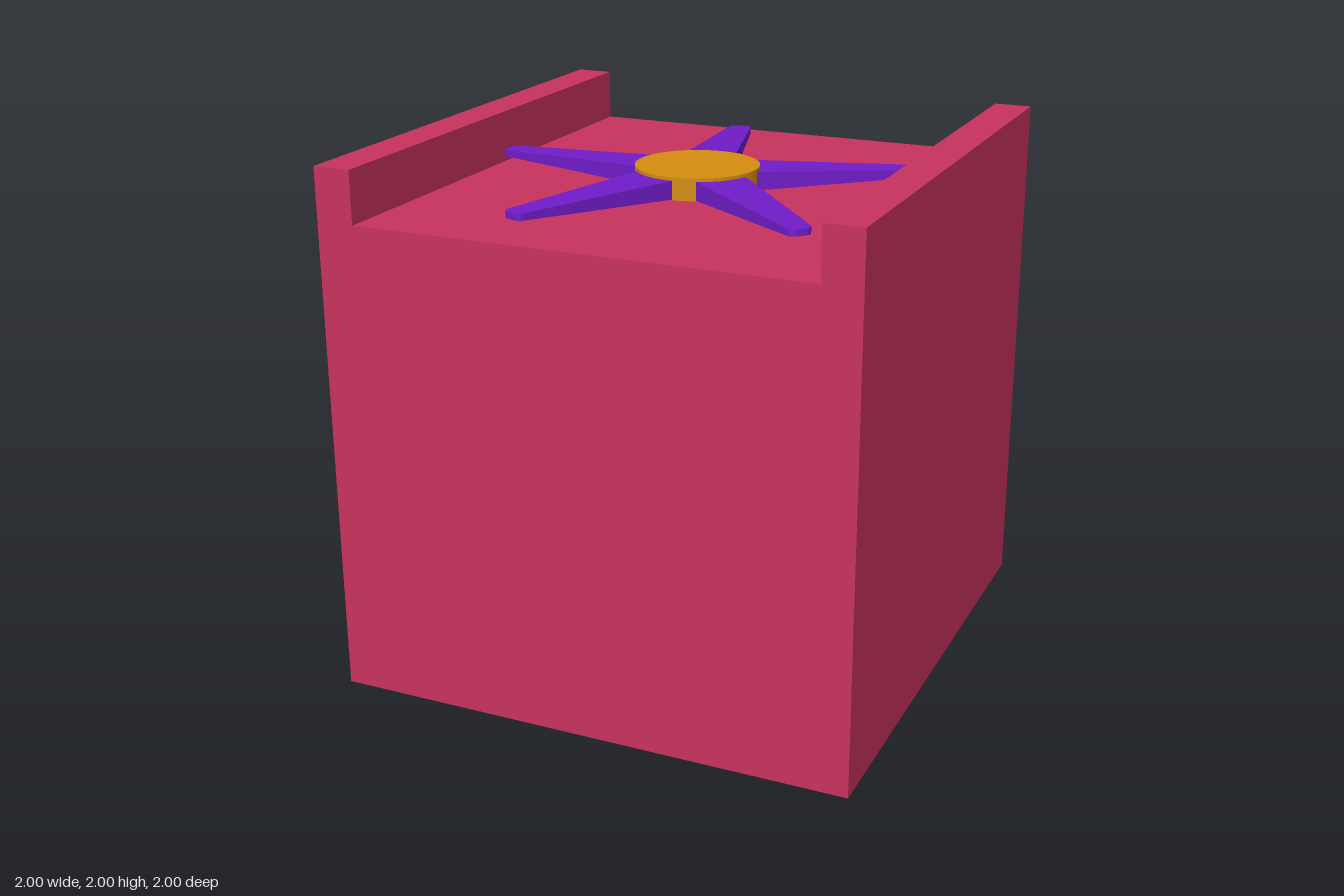
import * as THREE from 'three';

const FLOOR = 1.804;   // top of the block between the rails
const WALL = 0.857;    // inner face of each rail

function mesh(name, geometry, color, flatShading = true) {
  const m = new THREE.Mesh(geometry, new THREE.MeshStandardMaterial({ color, flatShading }));
  m.name = name;
  return m;
}

// Tapered blade along +x with rounded tip corners, thinning towards the tip
function bladeGeometry() {
  const root = 0.15, tip = 0.863, rootHalf = 0.104, tipHalf = 0.043, r = 0.028;
  const s = new THREE.Shape();
  s.moveTo(root, -rootHalf);
  s.lineTo(tip - r, -tipHalf - 0.002);
  s.quadraticCurveTo(tip - 0.003, -tipHalf, tip, -tipHalf + r);
  s.lineTo(tip, tipHalf - r);
  s.quadraticCurveTo(tip - 0.003, tipHalf, tip - r, tipHalf + 0.002);
  s.lineTo(root, rootHalf);
  s.closePath();
  const g = new THREE.ExtrudeGeometry(s, { depth: 2, bevelEnabled: false, curveSegments: 5 });
  g.translate(0, 0, -1);
  g.rotateX(-Math.PI / 2);
  const p = g.attributes.position;
  for (let i = 0; i < p.count; i++) {
    const t = (p.getX(i) - root) / (tip - root);
    p.setY(i, p.getY(i) * THREE.MathUtils.lerp(0.037, 0.012, t));
  }
  g.computeVertexNormals();
  return g;
}

export function createModel() {
  const model = new THREE.Group();
  model.name = 'fanBlock';

  // Solid block with a channel between two side rails
  const profile = new THREE.Shape([
    [-1, 0], [1, 0], [1, 2], [WALL, 2], [WALL, FLOOR], [-WALL, FLOOR], [-WALL, 2], [-1, 2],
  ].map(([x, y]) => new THREE.Vector2(x, y)));
  const block = new THREE.ExtrudeGeometry(profile, { depth: 2, bevelEnabled: false });
  block.translate(0, 0, -1);
  model.add(mesh('block', block, 0xc8325e));

  // Fan: round hub with five radial blades
  const fan = new THREE.Group();
  fan.name = 'fan';
  const hub = mesh('hub', new THREE.CylinderGeometry(0.233, 0.233, 0.084, 64), 0xd48c0e, false);
  hub.position.y = FLOOR + 0.042;
  fan.add(hub);

  const blade = bladeGeometry();
  for (let i = 0; i < 5; i++) {
    const b = mesh('blade', blade, 0x701cc8);
    b.position.y = 1.841;
    b.rotation.y = THREE.MathUtils.degToRad(173.6 + i * 72);
    fan.add(b);
  }
  model.add(fan);
  return model;
}
